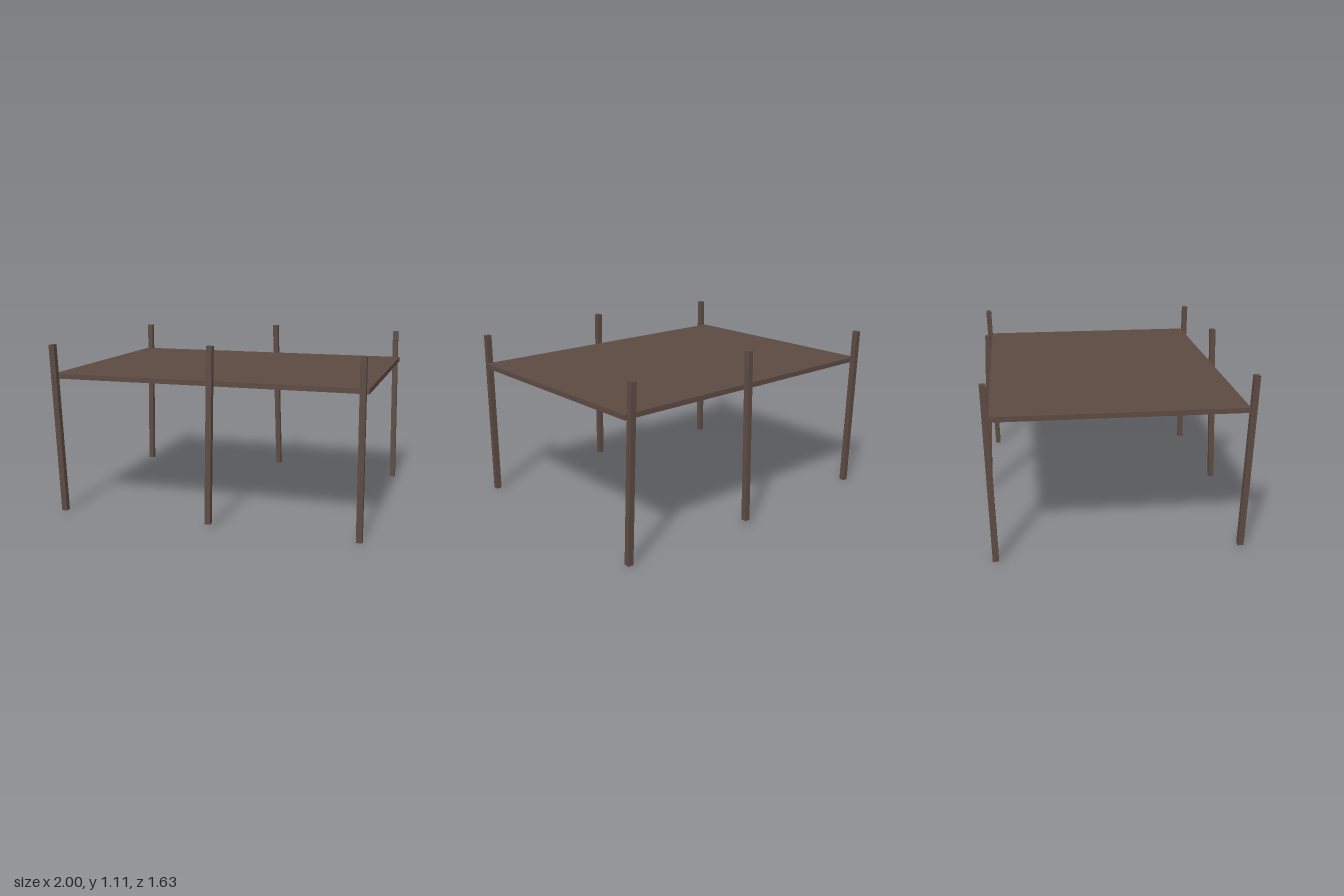
import * as THREE from 'three';

export function createModel() {
  const group = new THREE.Group();
  const wood = new THREE.MeshStandardMaterial({ color: 0x5c4a42 });
  wood.name = 'dark brown wood';

  // Flat deck carried between the posts
  const deck = new THREE.Mesh(new THREE.BoxGeometry(1.995, 0.031, 1.49), wood);
  deck.name = 'deck';
  deck.position.set(-0.002, 0.887, -0.003);
  group.add(deck);

  // Slightly crooked square posts, given by the centres of their two ends
  const up = new THREE.Vector3(0, 1, 0);
  const addPost = (name, foot, head) => {
    const a = new THREE.Vector3(...foot);
    const b = new THREE.Vector3(...head);
    const axis = b.clone().sub(a);
    const post = new THREE.Mesh(new THREE.BoxGeometry(0.036, axis.length(), 0.036), wood);
    post.name = name;
    post.position.copy(a).add(b).multiplyScalar(0.5);
    post.quaternion.setFromUnitVectors(up, axis.normalize());
    group.add(post);
  };

  addPost('frontRightPost', [-0.953, 0.01, 0.738], [-0.98, 1.09, 0.771]);
  addPost('frontMiddlePost', [0.048, 0.034, 0.797], [0.056, 1.115, 0.763]);
  addPost('frontLeftPost', [0.965, 0.001, 0.758], [0.962, 1.087, 0.763]);
  addPost('backRightPost', [-0.979, 0.004, -0.741], [-0.979, 1.087, -0.77]);
  addPost('backMiddlePost', [0.083, 0.028, -0.793], [0.056, 1.11, -0.757]);
  addPost('backLeftPost', [0.977, 0.004, -0.741], [0.958, 1.087, -0.77]);

  return group;
}
